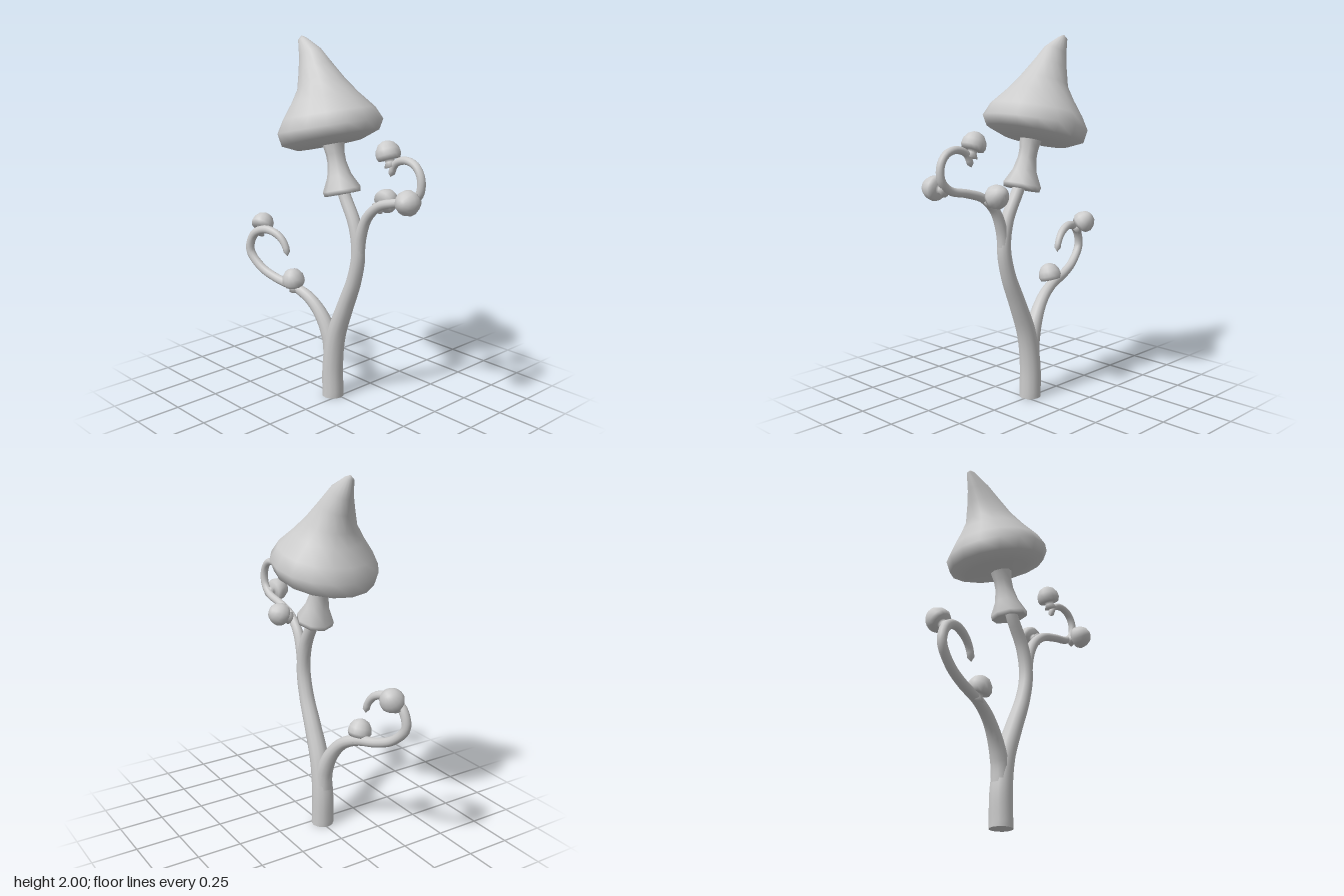
import * as THREE from 'three';
import { mergeVertices } from 'three/addons/utils/BufferGeometryUtils.js';

const material = new THREE.MeshStandardMaterial({ color: 0xcccccc });
const UP = new THREE.Vector3(0, 1, 0);

function addMesh(parent, name, geometry) {
  const mesh = new THREE.Mesh(geometry, material);
  mesh.name = name;
  parent.add(mesh);
  return mesh;
}

// Weld seams and recompute smooth normals
function smooth(geometry) {
  geometry.deleteAttribute('uv');
  geometry.deleteAttribute('normal');
  const welded = mergeVertices(geometry, 1e-5);
  welded.computeVertexNormals();
  return welded;
}

// Tube whose radius follows evenly spaced values along its length
function taperedTube(points, radii, segments, closeTip) {
  const curve = new THREE.CatmullRomCurve3(points.map((p) => new THREE.Vector3(...p)));
  const sides = 12;
  const geometry = new THREE.TubeGeometry(curve, segments, 1, sides);
  const pos = geometry.attributes.position;
  const v = new THREE.Vector3();
  for (let i = 0; i <= segments; i++) {
    const centre = curve.getPointAt(i / segments);
    const t = (i / segments) * (radii.length - 1);
    const k = Math.min(Math.floor(t), radii.length - 2);
    let r = THREE.MathUtils.lerp(radii[k], radii[k + 1], t - k);
    if (closeTip && i === segments) r = 0.0005;
    for (let j = 0; j <= sides; j++) {
      const n = i * (sides + 1) + j;
      v.fromBufferAttribute(pos, n).sub(centre).multiplyScalar(r).add(centre);
      pos.setXYZ(n, v.x, v.y, v.z);
    }
  }
  return smooth(geometry);
}

function lathe(profile, sides) {
  return smooth(new THREE.LatheGeometry(profile.map((p) => new THREE.Vector2(...p)), sides));
}

// Leaning cap: each ring is [leftX, leftY, rightX, rightY, halfDepth]
function capGeometry() {
  const rings = [
    [-0.04, 1.45, -0.04, 1.45, 0],
    [-0.10, 1.43, 0.02, 1.46, 0.06],
    [-0.24, 1.388, 0.10, 1.485, 0.18],
    [-0.325, 1.405, 0.19, 1.54, 0.262],
    [-0.345, 1.475, 0.208, 1.595, 0.285],
    [-0.32, 1.55, 0.165, 1.655, 0.248],
    [-0.285, 1.64, 0.07, 1.725, 0.18],
    [-0.265, 1.71, -0.005, 1.79, 0.13],
    [-0.275, 1.80, -0.09, 1.87, 0.09],
    [-0.29, 1.88, -0.16, 1.94, 0.055],
    [-0.315, 1.975, -0.26, 1.99, 0.02],
    [-0.295, 2.0, -0.295, 2.0, 0],
  ];
  const sides = 16;
  const geometry = new THREE.LatheGeometry(rings.map((r, i) => new THREE.Vector2(1, i)), sides);
  const pos = geometry.attributes.position;
  for (let n = 0; n < pos.count; n++) {
    const [lx, ly, rx, ry, depth] = rings[n % rings.length];
    const t = (pos.getX(n) + 1) / 2;
    pos.setXYZ(n, lx + (rx - lx) * t, ly + (ry - ly) * t, depth * pos.getZ(n));
  }
  return smooth(geometry);
}

export function createModel() {
  const model = new THREE.Group();
  model.name = 'mushroomPlant';

  // Main stem with closed foot
  addMesh(model, 'stem', taperedTube([
    [-0.04, 0.005, 0.01], [-0.04, 0.2, 0.01], [-0.01, 0.38, 0.01], [0.06, 0.56, 0.01],
    [0.13, 0.73, 0.01], [0.16, 0.88, 0.01], [0.135, 1.03, 0.01], [0.05, 1.19, 0.01], [0.02, 1.27, 0.01],
  ], [0.062, 0.06, 0.054, 0.047, 0.041, 0.038, 0.035, 0.033], 40, false));
  const foot = addMesh(model, 'stemFoot', new THREE.CircleGeometry(0.062, 12));
  foot.rotation.x = Math.PI / 2;
  foot.position.set(-0.04, 0.005, 0.01);

  // Flared collar between stem and cap
  const collar = addMesh(model, 'collar', lathe([
    [0, 0.03], [0.04, 0.015], [0.098, 0], [0.102, 0.025], [0.065, 0.10],
    [0.05, 0.17], [0.05, 0.22], [0.06, 0.28],
  ], 8));
  collar.position.set(0.033, 1.185, 0.005);
  collar.quaternion.setFromUnitVectors(UP, new THREE.Vector3(-0.27, 1, 0).normalize());

  addMesh(model, 'cap', capGeometry());

  // Curling side branches
  const lower = [
    [-0.045, 0.2], [-0.058, 0.34], [-0.11, 0.46], [-0.19, 0.55], [-0.29, 0.6], [-0.42, 0.63],
    [-0.53, 0.68], [-0.605, 0.77], [-0.575, 0.87], [-0.49, 0.91], [-0.40, 0.885], [-0.355, 0.83], [-0.342, 0.775],
  ].map(([x, y]) => [x, y, 0.01 - 0.24 * (x + 0.045)]);
  addMesh(model, 'lowerBranch', taperedTube(lower,
    [0.05, 0.046, 0.036, 0.029, 0.026, 0.025, 0.025, 0.023, 0.018], 56, true));

  const upper = [
    [0.16, 0.86], [0.178, 0.98], [0.225, 1.09], [0.31, 1.165], [0.42, 1.2], [0.53, 1.225],
    [0.585, 1.275], [0.59, 1.35], [0.555, 1.405], [0.49, 1.425], [0.42, 1.4], [0.387, 1.33],
  ].map(([x, y]) => [x, y, 0.01]);
  addMesh(model, 'upperBranch', taperedTube(upper,
    [0.035, 0.032, 0.027, 0.024, 0.022, 0.022, 0.021, 0.02, 0.017], 52, true));

  // Small mushrooms: [centre, direction the top points]
  const budGeometry = lathe([
    [0, -0.075], [0.036, -0.07], [0.024, -0.045], [0.026, -0.03], [0.056, -0.032],
    [0.065, -0.01], [0.06, 0.02], [0.042, 0.048], [0.018, 0.061], [0, 0.063],
  ], 14);
  [
    [[-0.57, 0.925, 0.075], [-0.2, 0.75, -0.65]],
    [[-0.285, 0.652, 0.088], [0.05, 1, 0.25]],
    [[0.368, 1.447, 0.01], [-0.35, 1, 0]],
    [[0.285, 1.178, -0.068], [0.05, 0.5, -1]],
    [[0.57, 1.237, 0.082], [0.15, 0.1, 1]],
  ].forEach(([centre, direction], i) => {
    const bud = addMesh(model, `smallMushroom${i + 1}`, budGeometry);
    bud.position.set(...centre);
    bud.quaternion.setFromUnitVectors(UP, new THREE.Vector3(...direction).normalize());
  });

  return model;
}
